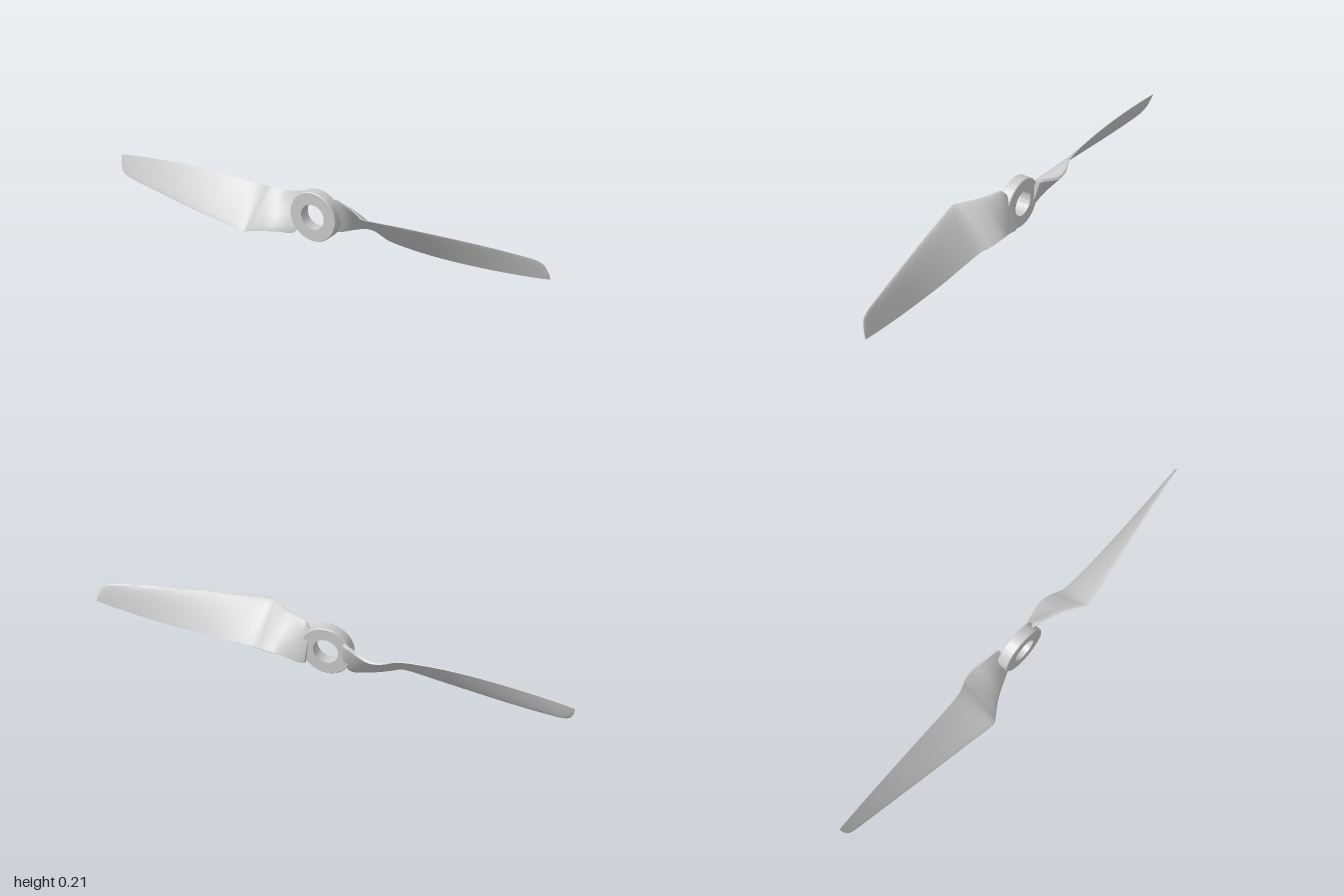
import * as THREE from 'three';
import { toCreasedNormals } from 'three/addons/utils/BufferGeometryUtils.js';

const AXIS_Y = 0.105;
const material = new THREE.MeshStandardMaterial({ color: 0xcccccc });

// Blade stations: leading edge x, y, z | trailing edge x, y, z | thickness | trailing thickness
const STATIONS = [
  [0.072, 0.178, -0.018, 0.08, 0.04, -0.06, 0.024, 0.016],
  [0.10, 0.204, -0.008, 0.10, 0.042, -0.068, 0.024, 0.016],
  [0.15, 0.205, 0.012, 0.15, 0.060, -0.080, 0.024, 0.014],
  [0.20, 0.205, 0.037, 0.20, 0.072, -0.090, 0.023, 0.010],
  [0.25, 0.205, 0.070, 0.25, 0.070, -0.085, 0.022, 0.006],
  [0.275, 0.205, 0.086, 0.28, 0.065, -0.074, 0.021, 0.004],
  [0.30, 0.205, 0.086, 0.31, 0.062, -0.064, 0.020, 0.003],
  [0.40, 0.204, 0.068, 0.40, 0.057, -0.057, 0.018, 0.003],
  [0.55, 0.201, 0.042, 0.55, 0.056, -0.055, 0.016, 0.002],
  [0.75, 0.193, 0.007, 0.75, 0.068, -0.054, 0.013, 0.002],
  [0.90, 0.183, -0.018, 0.90, 0.084, -0.054, 0.010, 0.002],
  [0.955, 0.176, -0.027, 0.965, 0.093, -0.054, 0.008, 0.002],
  [0.98, 0.162, -0.033, 0.99, 0.097, -0.054, 0.006, 0.002],
  [0.994, 0.132, -0.043, 1.0, 0.099, -0.054, 0.004, 0.002],
];

function bladeGeometry() {
  const curve = (f) => new THREE.CatmullRomCurve3(STATIONS.map(f), false, 'centripetal');
  const lead = curve((s) => new THREE.Vector3(s[0], s[1] - AXIS_Y, s[2]));
  const trail = curve((s) => new THREE.Vector3(s[3], s[4] - AXIS_Y, s[5]));
  const rows = (STATIONS.length - 1) * 6, half = 14, ring = half * 2 + 2;
  const pos = [], index = [];
  for (let i = 0; i <= rows; i++) {
    const u = i / rows, f = u * (STATIONS.length - 1);
    const k = Math.min(Math.floor(f), STATIONS.length - 2);
    const [thick, blunt] = [6, 7].map((c) =>
      THREE.MathUtils.lerp(STATIONS[k][c], STATIONS[k + 1][c], f - k));
    const L = lead.getPoint(u), T = trail.getPoint(u);
    const d = L.clone().sub(T);
    const n = new THREE.Vector3(0, d.z, -d.y).normalize();
    // Airfoil loop: convex back from leading to trailing edge, flatter front on the way home
    for (let j = 0; j < ring; j++) {
      const back = j <= half;
      const q = back ? j / half : (ring - 1 - j) / half;
      const t = (1 - Math.cos(Math.PI * q)) / 2;
      const body = thick * 1.5 * Math.sqrt(t) * (1 - t) + blunt * t;
      const p = L.clone().lerp(T, t).addScaledVector(n, back ? body * 0.8 : -body * 0.2);
      pos.push(p.x, p.y, p.z);
    }
  }
  for (let i = 0; i < rows; i++) {
    for (let j = 0; j < ring; j++) {
      const a = i * ring + j, b = i * ring + (j + 1) % ring;
      index.push(a, a + ring, b + ring, a, b + ring, b);
    }
  }
  // Close the root and the tip
  const end = rows * ring;
  for (let j = 0; j < half; j++) {
    const a = j, b = j + 1, c = ring - 2 - j, e = ring - 1 - j;
    index.push(a, b, c, a, c, e);
    index.push(end + a, end + c, end + b, end + a, end + e, end + c);
  }
  const g = new THREE.BufferGeometry();
  g.setAttribute('position', new THREE.Float32BufferAttribute(pos, 3));
  g.setIndex(index);
  return toCreasedNormals(g, 0.6);
}

function hubGeometry() {
  const R = 0.105, r = 0.053, z0 = -0.048, z1 = 0, b = 0.003;
  const profile = [
    [r, z0], [R - b, z0], [R, z0 + b], [R, z1 - b], [R - b, z1], [r, z1], [r, z0],
  ].map(([x, y]) => new THREE.Vector2(x, y));
  const g = new THREE.LatheGeometry(profile, 64);
  g.rotateX(Math.PI / 2);
  return toCreasedNormals(g, 0.5);
}

export function createModel() {
  const model = new THREE.Group();
  model.name = 'propeller';

  const hub = new THREE.Mesh(hubGeometry(), material);
  hub.name = 'hub';
  hub.position.y = AXIS_Y;
  model.add(hub);

  // Two identical blades, half a turn apart
  const geometry = bladeGeometry();
  ['leftBlade', 'rightBlade'].forEach((name, i) => {
    const blade = new THREE.Mesh(geometry, material);
    blade.name = name;
    blade.position.y = AXIS_Y;
    blade.rotation.z = i * Math.PI;
    model.add(blade);
  });
  return model;
}
